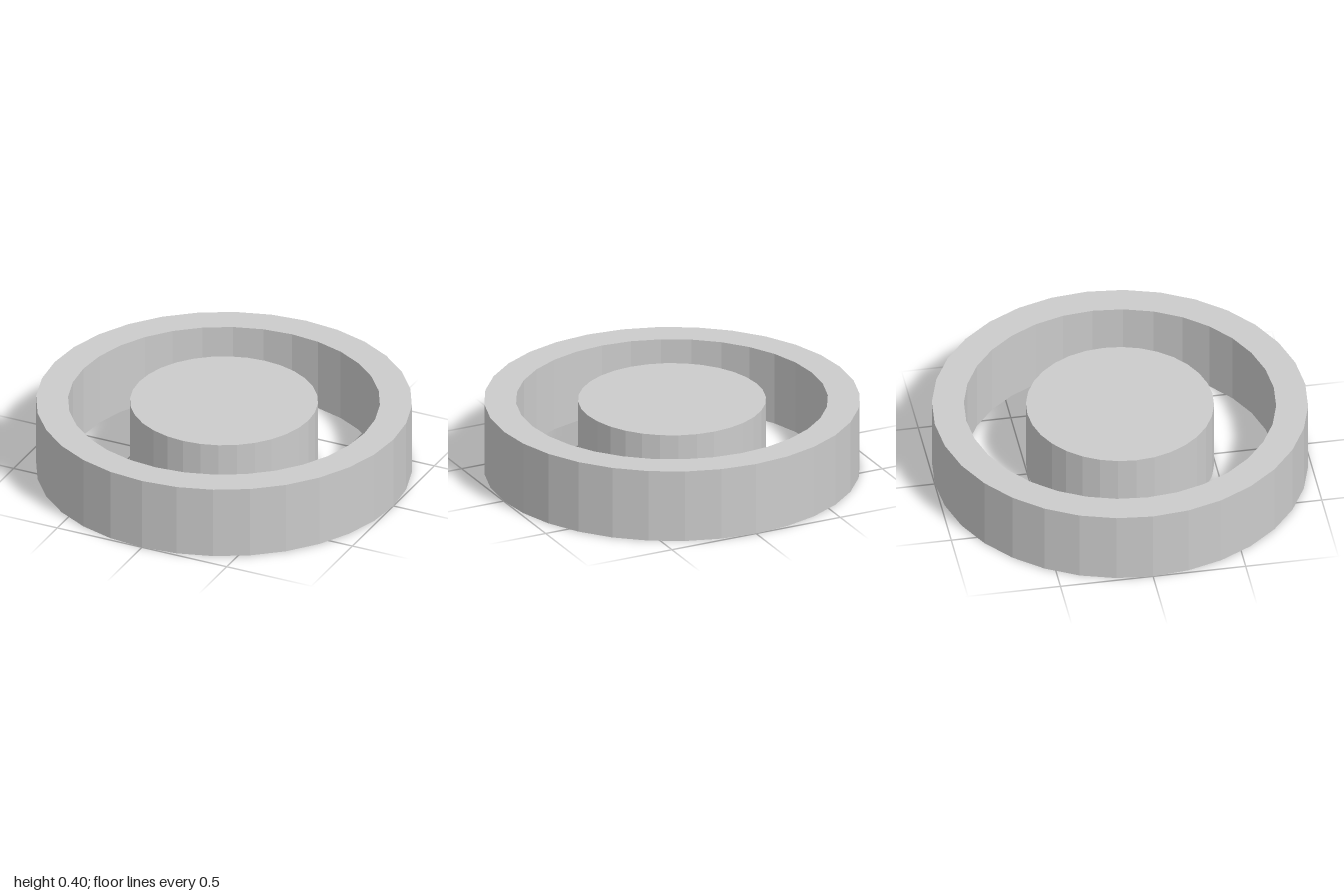
import * as THREE from 'three';

const SIDES = 32;
const HEIGHT = 0.4;
const OUTER = 1;
const INNER = 0.83;
const CORE = 0.5;

export function createModel() {
  const group = new THREE.Group();
  const material = new THREE.MeshStandardMaterial({ color: 0xcccccc, flatShading: true });

  // Outer ring: rectangular section turned around the y axis
  const section = [
    [INNER, 0], [OUTER, 0], [OUTER, HEIGHT], [INNER, HEIGHT], [INNER, 0],
  ].map(([r, y]) => new THREE.Vector2(r, y));
  const ring = new THREE.Mesh(new THREE.LatheGeometry(section, SIDES), material);
  ring.name = 'outerRing';
  group.add(ring);

  // Free-standing solid disc in the middle
  const core = new THREE.Mesh(new THREE.CylinderGeometry(CORE, CORE, HEIGHT, SIDES), material);
  core.name = 'centreDisc';
  core.position.y = HEIGHT / 2;
  group.add(core);

  return group;
}
